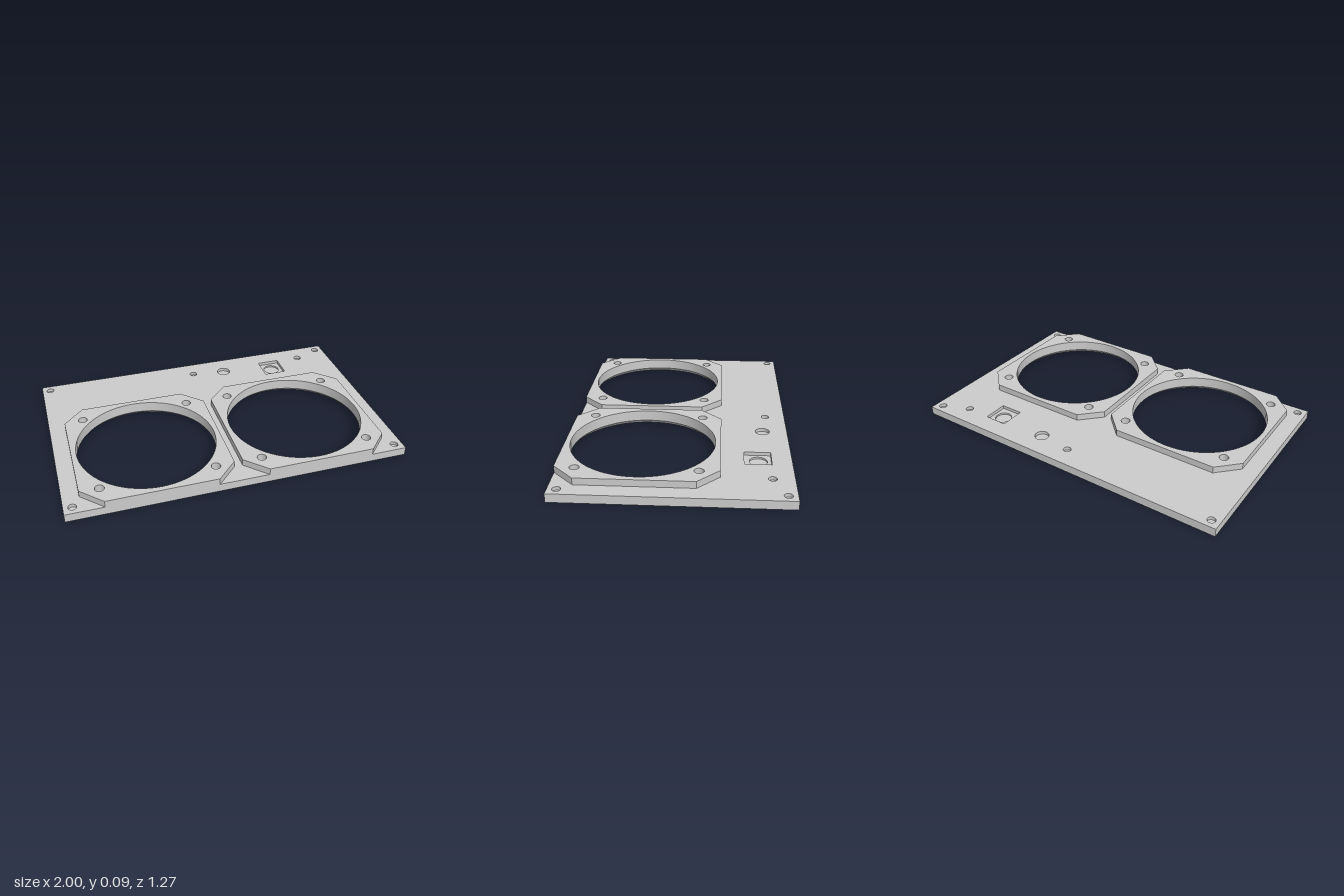
import * as THREE from 'three';
import { toCreasedNormals, mergeGeometries } from 'three/addons/utils/BufferGeometryUtils.js';

const HALF_Z = 0.635, PLATE_TOP = 0.05, PAD_TOP = 0.09;
const FAN_X = 0.4645, FAN_Z = 0.195, PAD = 0.44, CUT = 0.122, SCREW = 0.328;
const BORE = 0.41, FLARE = 0.437, FLARE_H = 0.027;

// Outlines are counter-clockwise lists of (x, z) points.
const circle = (x, z, r, n = 32) => Array.from({ length: n }, (_, i) => {
  const a = (i / n) * Math.PI * 2;
  return new THREE.Vector2(x + r * Math.cos(a), z + r * Math.sin(a));
});
const octagon = (x, z, w, d, c) => [
  [-w + c, -d], [w - c, -d], [w, -d + c], [w, d - c],
  [w - c, d], [-w + c, d], [-w, d - c], [-w, -d + c],
].map(([px, pz]) => new THREE.Vector2(x + px, z + pz));
const rect = (x, z, w, d) => [[-w, -d], [w, -d], [w, d], [-w, d]]
  .map(([px, pz]) => new THREE.Vector2(x + px, z + pz));
// Slot with rounded ends along x
const slot = (x, z, half, r) => circle(0, 0, r, 24).map((p, i) =>
  new THREE.Vector2(x + p.x + (i <= 6 || i >= 18 ? 1 : -1) * (half - r), z + p.y));

function flip(geo) {
  const ix = geo.index.array;
  for (let i = 0; i < ix.length; i += 3) [ix[i], ix[i + 1]] = [ix[i + 1], ix[i]];
  return geo;
}
function finish(geo) {
  geo.deleteAttribute('uv');
  geo.deleteAttribute('normal');
  return toCreasedNormals(geo, 0.5);
}

// Flat face at height y, with holes
function face(outline, holes, y, up) {
  const shape = new THREE.Shape(outline);
  shape.holes = holes.map((h) => new THREE.Path(h));
  const geo = new THREE.ShapeGeometry(shape).rotateX(Math.PI / 2).translate(0, y, 0);
  return finish(up ? flip(geo) : geo);
}

// Wall between two outlines; faces inward for holes, outward for rims
function wall(low, y0, high, y1, outward = false) {
  const pos = [], idx = [], n = low.length;
  low.forEach((p, i) => pos.push(p.x, y0, p.y, high[i].x, y1, high[i].y));
  for (let i = 0; i < n; i++) {
    const a = 2 * i, b = 2 * ((i + 1) % n);
    idx.push(a, b, b + 1, a, b + 1, a + 1);
  }
  const geo = new THREE.BufferGeometry();
  geo.setAttribute('position', new THREE.Float32BufferAttribute(pos, 3));
  geo.setIndex(idx);
  return finish(outward ? flip(geo) : geo);
}

// Blind recess from an open face down (or up) to its floor
const recess = (outline, open, floor, floorHoles = []) => [
  wall(outline, Math.min(open, floor), outline, Math.max(open, floor)),
  face(outline, floorHoles, floor, floor < open),
];

export function createModel() {
  const group = new THREE.Group();
  const material = new THREE.MeshStandardMaterial({ color: 0xcccccc });
  const add = (name, parts) => {
    const mesh = new THREE.Mesh(mergeGeometries(parts), material);
    mesh.name = name;
    group.add(mesh);
  };
  const topHoles = [], bottomHoles = [];

  // Two raised fan pads with chamfered corners, a bore and four screw holes
  for (const side of [-1, 1]) {
    const x = side * FAN_X;
    const pad = octagon(x, FAN_Z, PAD, PAD, CUT);
    const bore = circle(x, FAN_Z, BORE, 96), flare = circle(x, FAN_Z, FLARE, 96);
    const screws = [];
    for (const i of [-1, 1]) for (const j of [-1, 1])
      screws.push(circle(x + i * SCREW, FAN_Z + j * SCREW, 0.027));
    add('fanPad', [
      wall(pad, PLATE_TOP, pad, PAD_TOP, true),
      face(pad, [bore, ...screws], PAD_TOP, true),
    ]);
    add('fanBore', [wall(flare, 0, bore, FLARE_H), wall(bore, FLARE_H, bore, PAD_TOP)]);
    add('fanScrewHoles', screws.flatMap((s) => recess(s, PAD_TOP, 0.03)));
    topHoles.push(bore, ...screws);
    bottomHoles.push(flare);
  }

  // Holes open above and counterbored below: x, z, top radius, bottom radius
  const bored = [
    [-0.95, -0.585, 0.023, 0.036], [0.95, -0.585, 0.023, 0.036],
    [-0.95, 0.585, 0.023, 0.036], [0.95, 0.585, 0.023, 0.036],
    [0.015, -0.517, 0.023, 0.036], [0.785, -0.517, 0.023, 0.036],
    [0.224, -0.49, 0.042, 0.062],
  ];
  for (const [x, z, r, R] of bored) {
    const top = circle(x, z, r), bottom = circle(x, z, R);
    add('counterboredHole', [...recess(top, PLATE_TOP, 0.03), ...recess(bottom, 0, 0.025)]);
    topHoles.push(top);
    bottomHoles.push(bottom);
  }

  // Square switch pocket with a round well, and a wide recess beneath
  const pocket = rect(0.563, -0.448, 0.07, 0.075);
  const well = circle(0.563, -0.452, 0.05), under = circle(0.563, -0.452, 0.087, 48);
  add('switchPocket', [
    ...recess(pocket, PLATE_TOP, 0.03, [well]),
    ...recess(well, 0.03, 0.02),
    ...recess(under, 0, 0.015),
  ]);
  topHoles.push(pocket);
  bottomHoles.push(under);

  // Shallow slots in the underside
  const slots = [
    [0.8, -0.24], [0.8, -0.39], [0.36, -0.6], [0.81, 0.585],
    [-0.78, -0.24], [-0.76, -0.4], [-0.76, -0.58], [-0.8, 0.585],
  ].map(([x, z]) => slot(x, z, 0.095, 0.022));
  add('undersideSlots', slots.flatMap((s) => recess(s, 0, 0.025)));
  bottomHoles.push(...slots);

  // Base plate
  const plate = rect(0, 0, 1, HALF_Z);
  add('basePlate', [
    wall(plate, 0, plate, PLATE_TOP, true),
    face(plate, topHoles, PLATE_TOP, true),
    face(plate, bottomHoles, 0, false),
  ]);
  return group;
}
